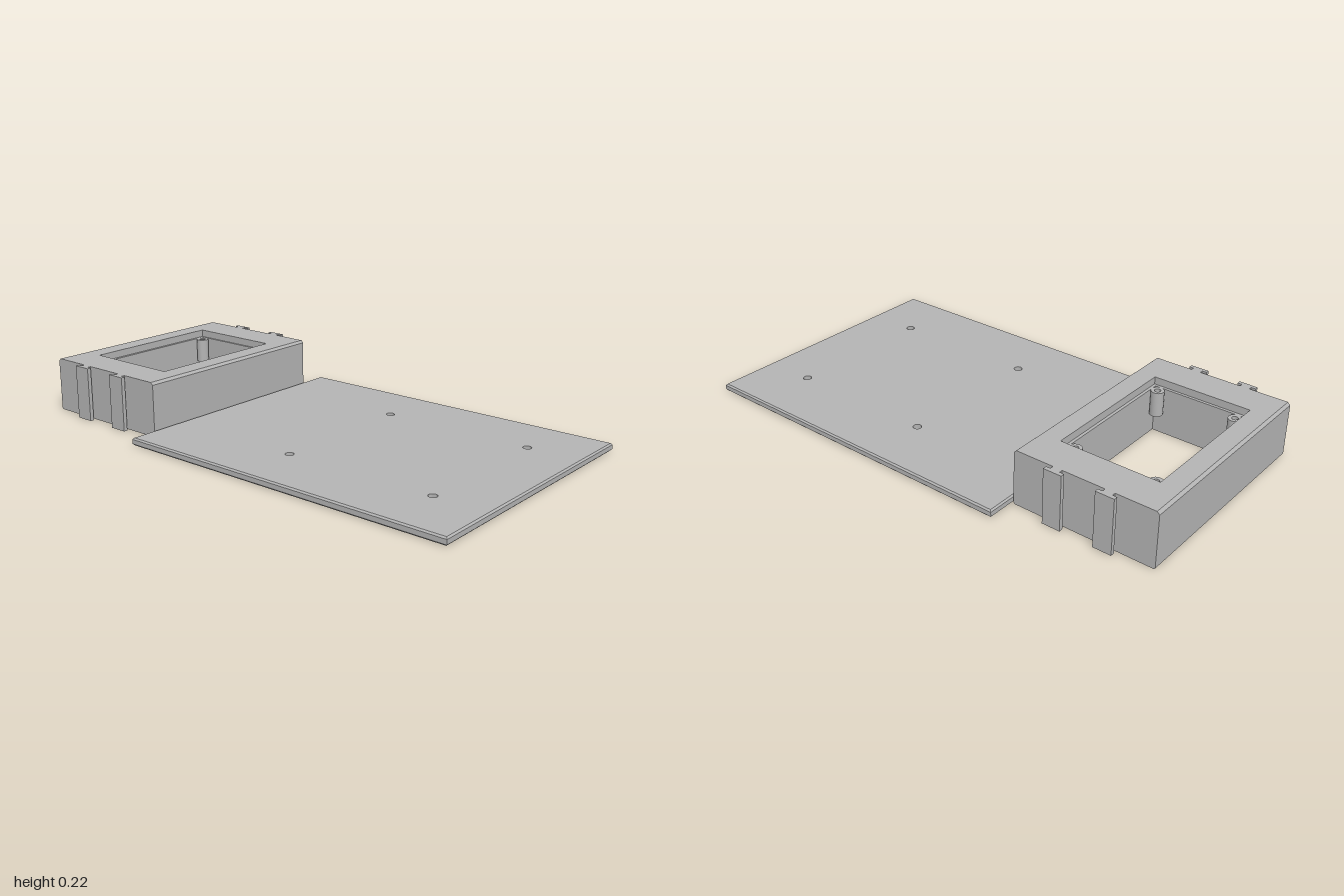
import * as THREE from 'three';
import { toCreasedNormals } from 'three/addons/utils/BufferGeometryUtils.js';

// Rectangle [x0, x1, z0, z1] drawn in plan; shape y is -z
function rect(target, [x0, x1, z0, z1]) {
  target.moveTo(x0, -z1).lineTo(x1, -z1).lineTo(x1, -z0).lineTo(x0, -z0).closePath();
  return target;
}

const roundHole = (x, z, r) => new THREE.Path().absarc(x, -z, r, 0, Math.PI * 2, true);

// Upright extrusion of a plan shape from y0 to y1
function extrudeUp(shape, y0, y1, steps = 1) {
  const geo = new THREE.ExtrudeGeometry(shape, {
    depth: y1 - y0, steps, bevelEnabled: false, curveSegments: 10,
  });
  return geo.rotateX(-Math.PI / 2).translate(0, y0, 0);
}

// Slab with holes whose outer rims are eased; bevel = { x, z, top, bottom }
function slab(bounds, holes, y0, y1, bevel) {
  const shape = rect(new THREE.Shape(), bounds);
  shape.holes.push(...holes);
  const geo = extrudeUp(shape, y0, y1, 3);
  const p = geo.attributes.position;
  const [x0, x1, z0, z1] = bounds;
  const near = (a, b) => Math.abs(a - b) < 1e-4;
  for (let i = 0; i < p.count; i++) {
    const x = p.getX(i), y = p.getY(i), z = p.getZ(i);
    const layer = Math.round((y - y0) / (y1 - y0) * 3);
    const inset = layer === 0 ? bevel.bottom : layer === 3 ? bevel.top : 0;
    if (layer === 1) p.setY(i, y0 + Math.max(bevel.bottom, 0.004));
    if (layer === 2) p.setY(i, y1 - Math.max(bevel.top, 0.004));
    if (bevel.x && near(x, x0)) p.setX(i, x0 + inset);
    if (bevel.x && near(x, x1)) p.setX(i, x1 - inset);
    if (bevel.z && near(z, z0)) p.setZ(i, z0 + inset);
    if (bevel.z && near(z, z1)) p.setZ(i, z1 - inset);
  }
  return toCreasedNormals(geo, 0.7);
}

export function createModel() {
  const model = new THREE.Group();
  model.name = 'enclosureWithPlate';
  const grey = new THREE.MeshStandardMaterial({ color: 0xb3b3b3 });
  grey.name = 'grey plastic';

  const add = (name, geometry) => {
    const mesh = new THREE.Mesh(geometry, grey);
    mesh.name = name;
    model.add(mesh);
    return mesh;
  };

  // Flat base plate with four mounting holes
  const plateHoles = [];
  for (const x of [-0.31, 0.31])
    for (const z of [0.155, 0.78]) plateHoles.push(roundHole(x, z, 0.017));
  add('basePlate', slab([-0.56, 0.56, -0.42, 1], plateHoles, 0, 0.03,
    { x: true, z: true, top: 0.006, bottom: 0.006 }));

  // Frame body: open centre, blind screw holes underneath
  const frame = [-0.443, 0.443, -1, -0.425];
  const bodyHoles = [rect(new THREE.Path(), [-0.29, 0.29, -0.9, -0.525])];
  for (const x of [-0.37, 0.37])
    for (const z of [-0.945, -0.48]) bodyHoles.push(roundHole(x, z, 0.014));
  add('frameBody', slab(frame, bodyHoles, 0, 0.19, { z: true, top: 0, bottom: 0.005 }));

  // Frame rim: slightly wider opening leaves a ledge
  add('frameRim', slab(frame, [rect(new THREE.Path(), [-0.302, 0.298, -0.912, -0.513])],
    0.19, 0.22, { z: true, top: 0.01, bottom: 0 }));

  // Hollow screw posts in the corners of the opening
  for (const x of [-0.265, 0.262])
    for (const z of [-0.875, -0.55]) {
      const ring = new THREE.Shape().absarc(x, -z, 0.026, 0, Math.PI * 2, false);
      ring.holes.push(roundHole(x, z, 0.012));
      add('screwPost', toCreasedNormals(extrudeUp(ring, 0.09, 0.19), 0.7));
    }

  // T-shaped rails on both sides
  for (const side of [-1, 1])
    for (const z of [-0.815, -0.608]) {
      const stem = add('railStem', new THREE.BoxGeometry(0.018, 0.22, 0.038));
      stem.position.set(side * 0.45, 0.11, z);
      const flange = add('railFlange', new THREE.BoxGeometry(0.016, 0.22, 0.074));
      flange.position.set(side * 0.465, 0.11, z);
    }

  return model;
}
